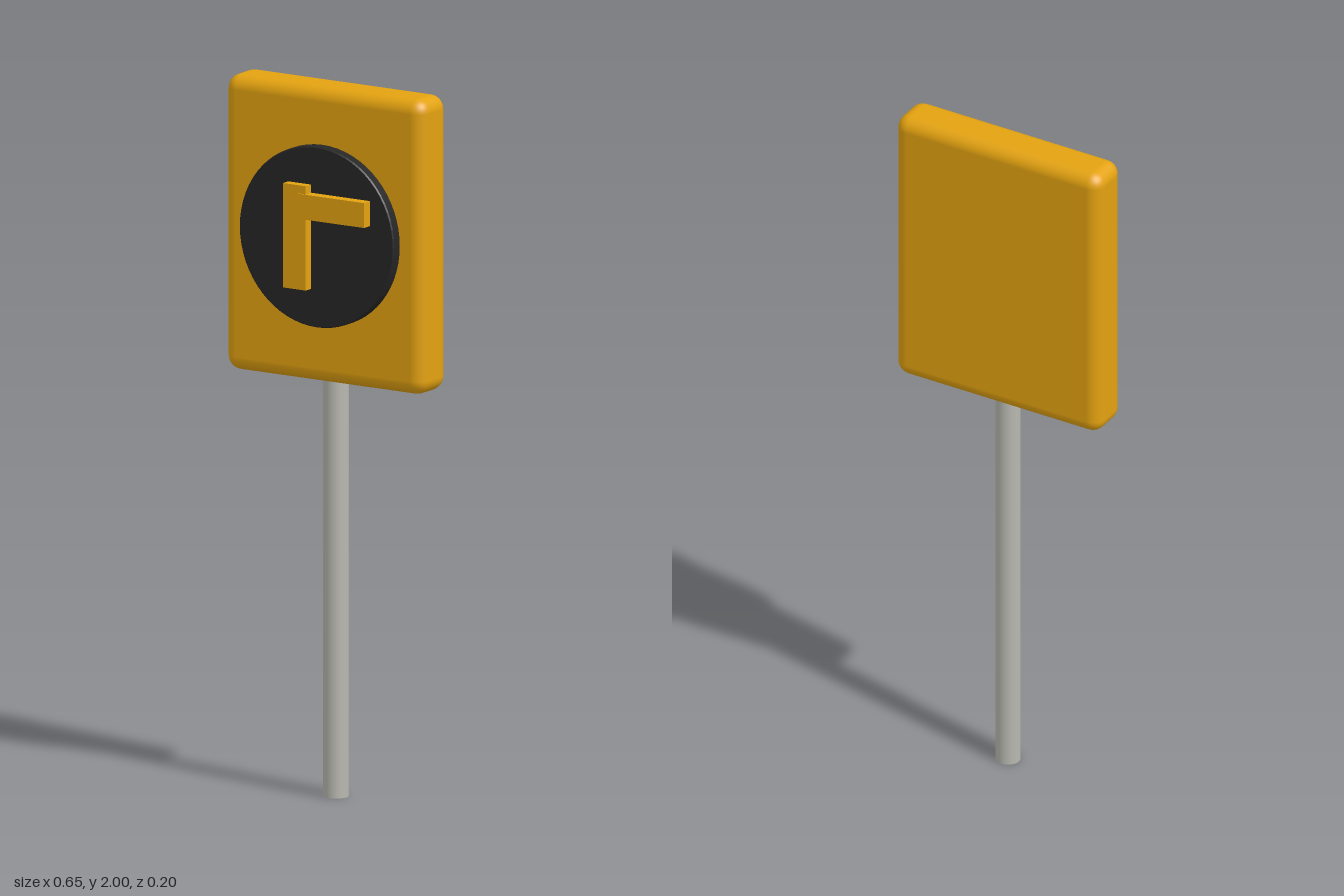
import * as THREE from 'three';
import { RoundedBoxGeometry } from 'three/addons/geometries/RoundedBoxGeometry.js';

const material = (name, color) => {
  const m = new THREE.MeshStandardMaterial({ color });
  m.name = name;
  return m;
};

export function createModel() {
  const group = new THREE.Group();
  group.name = 'roadSign';
  const amber = material('amber', 0xe3a210);
  const black = material('black', 0x262626);
  const grey = material('poleGrey', 0xb8b8b0);

  const add = (name, geometry, mat, x, y, z) => {
    const mesh = new THREE.Mesh(geometry, mat);
    mesh.name = name;
    mesh.position.set(x, y, z);
    group.add(mesh);
    return mesh;
  };

  // Pole, ending just inside the panel
  add('pole', new THREE.CylinderGeometry(0.035, 0.035, 1.2, 32), grey, 0, 0.6, -0.032);

  // Rounded panel
  add('panel', new RoundedBoxGeometry(0.654, 0.83, 0.134, 4, 0.04), amber, 0, 1.585, -0.032);

  // Disc with a slightly eased front rim
  const profile = [[0, 0], [0.254, 0], [0.254, 0.042], [0.251, 0.046], [0, 0.046]]
    .map(([r, h]) => new THREE.Vector2(r, h));
  const discGeometry = new THREE.LatheGeometry(profile, 64).toNonIndexed();
  discGeometry.computeVertexNormals();
  add('disc', discGeometry, black, 0, 1.587, 0.02).rotation.x = Math.PI / 2;

  // Raised bars of the turn symbol: [name, x0, x1, y0, y1, front z]
  const bars = [
    ['uprightBar', -0.092, -0.017, 1.44, 1.733, 0.093],
    ['crossBar', -0.046, 0.177, 1.64, 1.71, 0.097],
  ];
  for (const [name, x0, x1, y0, y1, z1] of bars) {
    const z0 = 0.06;
    add(name, new THREE.BoxGeometry(x1 - x0, y1 - y0, z1 - z0), amber,
      (x0 + x1) / 2, (y0 + y1) / 2, (z0 + z1) / 2);
  }
  return group;
}
